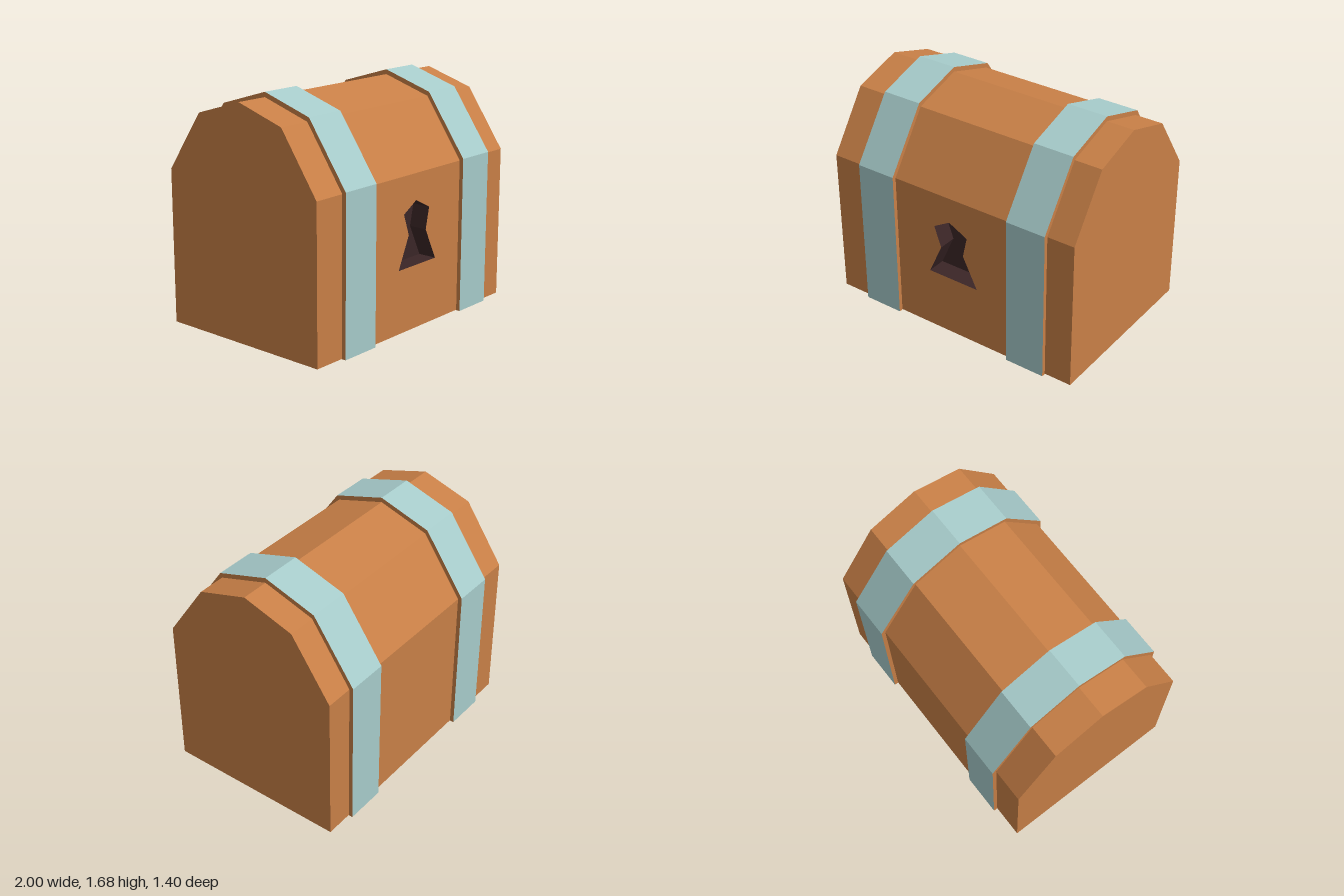
import * as THREE from 'three';

const wood = new THREE.MeshStandardMaterial({ name: 'wood', color: 0xc98047 });
const metal = new THREE.MeshStandardMaterial({ name: 'paleMetal', color: 0xa7cccb });
const dark = new THREE.MeshStandardMaterial({ name: 'darkKeyhole', color: 0x3b2627 });

const DEPTH = 0.14; // keyhole recess
const FRONT = 0.67;
const EAVES = 1.11;
const BASE = 0.003; // wood sits a hair above the strap undersides

const toPoints = (list) => list.map(([x, y]) => new THREE.Vector2(x, y));

// Extrudes a side profile (back = +, front = -) along x from x0 to x1
function extrudeAlongX(profile, x0, x1) {
  const geo = new THREE.ExtrudeGeometry(new THREE.Shape(toPoints(profile)), {
    depth: x1 - x0, bevelEnabled: false,
  });
  return geo.rotateY(Math.PI / 2).translate(x0, 0, 0);
}

function addMesh(group, name, geometry, material) {
  const mesh = new THREE.Mesh(geometry, material);
  mesh.name = name;
  group.add(mesh);
  return mesh;
}

export function createModel() {
  const chest = new THREE.Group();
  chest.name = 'treasureChest';

  // Body and faceted lid, with a step where the front panel fits
  const inner = -(FRONT - DEPTH);
  addMesh(chest, 'bodyAndLid', extrudeAlongX([
    [inner, BASE], [FRONT, BASE], [FRONT, EAVES], [0.375, 1.535], [0, 1.65],
    [-0.375, 1.535], [-FRONT, EAVES], [inner, EAVES],
  ], -1, 1), wood);

  // Front panel with the keyhole cut through it
  const keyhole = toPoints([
    [0, 0.92], [-0.13, 0.845], [-0.075, 0.69], [-0.18, 0.46],
    [0.225, 0.46], [0.112, 0.69], [0.147, 0.845],
  ]);
  const panel = new THREE.Shape(toPoints([[-1, BASE], [1, BASE], [1, EAVES], [-1, EAVES]]));
  panel.holes.push(new THREE.Path(keyhole));
  const panelGeo = new THREE.ExtrudeGeometry(panel, { depth: DEPTH, bevelEnabled: false });
  panelGeo.translate(0, 0, FRONT - DEPTH);

  // Outer edges (four quads) stay wood, the walls of the hole are dark
  const walls = panelGeo.groups[1].start + 24;
  panelGeo.clearGroups();
  panelGeo.addGroup(0, walls, 0);
  panelGeo.addGroup(walls, panelGeo.attributes.position.count - walls, 1);
  addMesh(chest, 'frontPanel', panelGeo, [wood, dark]);

  // Bottom of the keyhole recess
  const floor = addMesh(chest, 'keyholeBack', new THREE.ShapeGeometry(new THREE.Shape(keyhole)), dark);
  floor.position.z = FRONT - DEPTH + 0.003;

  // Straps: metal around the outside, wooden side faces
  const strapProfile = [
    [-0.7, 0], [0.7, 0], [0.7, 1.125], [0.39, 1.565],
    [0, 1.685], [-0.39, 1.565], [-0.7, 1.125],
  ];
  for (const [name, x0, x1] of [['rightStrap', -0.76, -0.457], ['leftStrap', 0.492, 0.795]]) {
    addMesh(chest, name, extrudeAlongX(strapProfile, x0, x1), [wood, metal]);
  }

  return chest;
}
